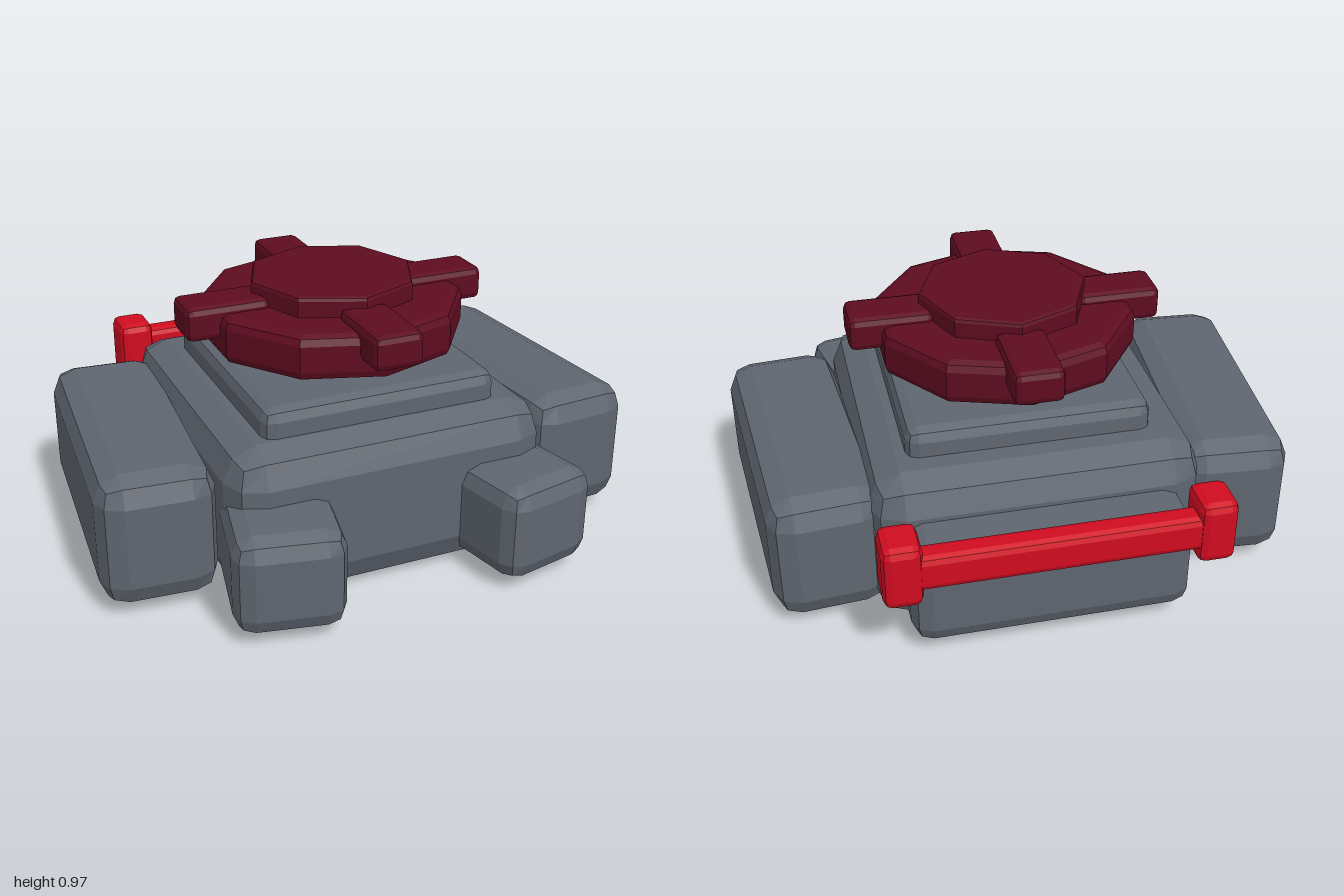
import * as THREE from 'three';
import { RoundedBoxGeometry } from 'three/addons/geometries/RoundedBoxGeometry.js';

function paint(name, color) {
  const m = new THREE.MeshStandardMaterial({ color });
  m.name = name;
  m.flatShading = true;
  return m;
}

export function createModel() {
  const grey = paint('slateGrey', 0x5f6670);
  const maroon = paint('maroon', 0x5e0c20);
  const red = paint('brightRed', 0xd00c20);
  const model = new THREE.Group();
  model.name = 'turretBase';

  const add = (parent, name, geometry, material, x = 0, y = 0, z = 0, turn = 0) => {
    const mesh = new THREE.Mesh(geometry, material);
    mesh.name = name;
    mesh.position.set(x, y, z);
    mesh.rotation.y = turn;
    parent.add(mesh);
    return mesh;
  };
  // box with a two-facet bevel on every edge
  const block = (w, h, d, r) => new RoundedBoxGeometry(w, h, d, 1, r);
  // chamfered many-sided disc with a corner on +z
  const disc = (sides, r, y0, y1, bevel) => new THREE.LatheGeometry([
    [0, y0], [r - bevel, y0], [r - bevel * 0.3, y0 + bevel * 0.3], [r, y0 + bevel],
    [r, y1 - bevel], [r - bevel * 0.3, y1 - bevel * 0.3], [r - bevel, y1], [0, y1],
  ].map(([x, y]) => new THREE.Vector2(x, y)), sides);

  // hull
  add(model, 'body', block(1.19, 0.575, 1.24, 0.12), grey, 0, 0.288, 0.005);
  add(model, 'deck', block(0.88, 0.2, 0.92, 0.045), grey, 0, 0.577, 0.035);
  add(model, 'rearBlock', block(0.99, 0.38, 0.5, 0.07), grey, 0, 0.25, -0.56);

  // splayed side pods and front feet
  for (const s of [-1, 1]) {
    const side = s > 0 ? 'left' : 'right';
    add(model, side + 'Pod', block(0.41, 0.48, 1.08, 0.09), grey, s * 0.772, 0.28, -0.02, s * 0.08);
    add(model, side + 'Foot', block(0.38, 0.355, 0.6, 0.07), grey, s * 0.425, 0.22, 0.562, s * 0.21);
  }

  // rear bumper with end caps
  const bumper = new THREE.Group();
  bumper.name = 'rearBumper';
  model.add(bumper);
  add(bumper, 'bumperBar', block(1.0, 0.13, 0.095, 0.025), red, 0, 0.435, -0.835);
  for (const s of [-1, 1]) {
    add(bumper, 'bumperCap', block(0.135, 0.235, 0.165, 0.03), red, s * 0.532, 0.435, -0.81);
  }

  // floating turret ring with four tabs
  const turret = new THREE.Group();
  turret.name = 'turret';
  turret.position.z = 0.035;
  model.add(turret);
  add(turret, 'turretDisc', disc(10, 0.482, 0.73, 0.895, 0.035), maroon);
  add(turret, 'turretCap', disc(8, 0.31, 0.85, 0.968, 0.015), maroon);
  for (let i = 0; i < 4; i++) {
    const a = i * Math.PI / 2;
    add(turret, 'turretTab', block(0.18, 0.125, 0.31, 0.025), maroon,
      Math.sin(a) * 0.42, 0.865, Math.cos(a) * 0.42, a);
  }
  return model;
}
